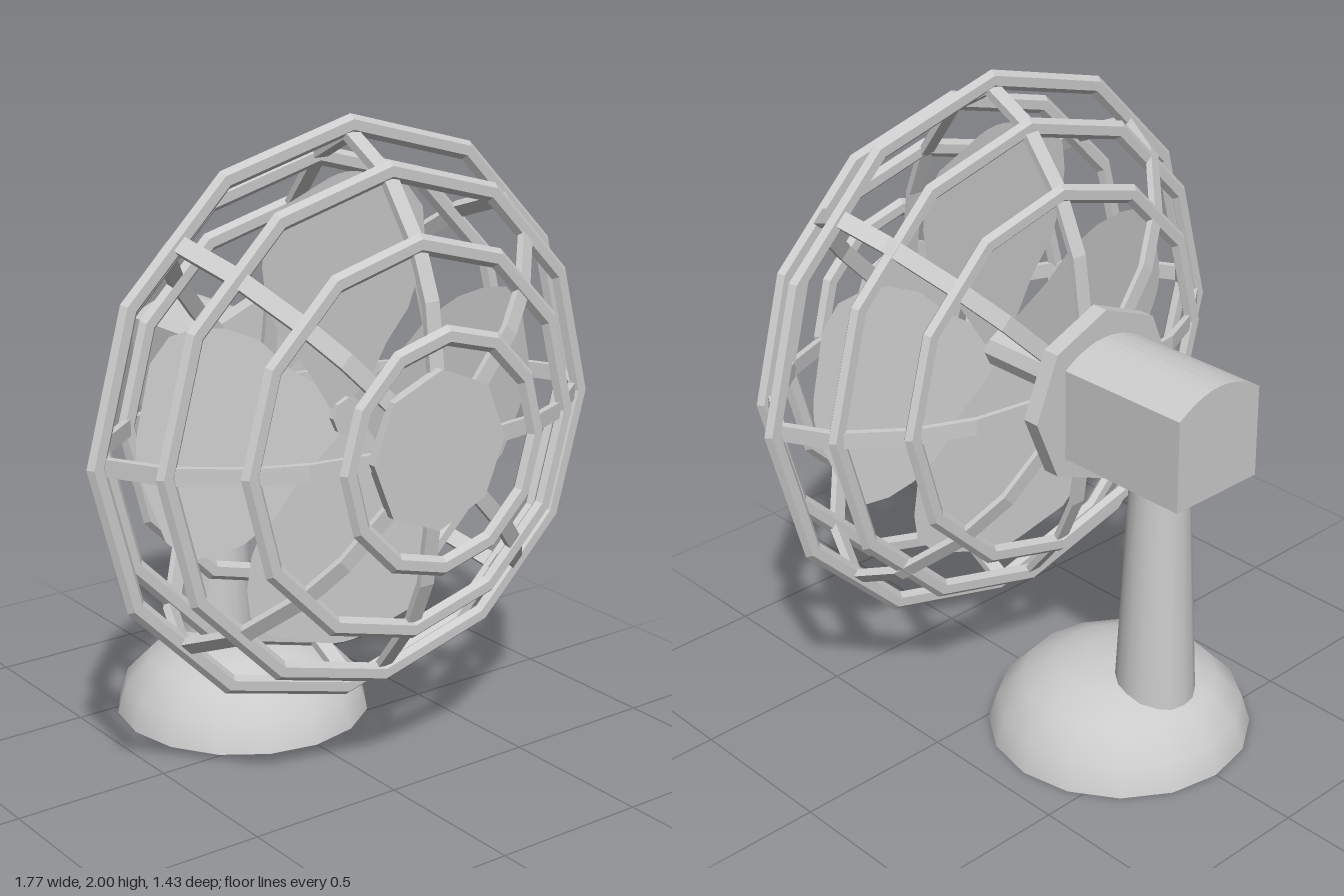
import * as THREE from 'three';

const AXIS_Y = 1.113; // height of the fan axis
const flat = new THREE.MeshStandardMaterial({ color: 0xcccccc, flatShading: true });
const smooth = new THREE.MeshStandardMaterial({ color: 0xcccccc, side: THREE.DoubleSide });

function add(parent, name, geometry, material = flat) {
  const mesh = new THREE.Mesh(geometry, material);
  mesh.name = name;
  parent.add(mesh);
  return mesh;
}

// Twelve-sided wire ring with a bevelled section, facing z
function ringGeometry(outer, z) {
  const section = [[0, 0], [-0.015, 0.017], [-0.045, 0.017], [-0.06, 0], [-0.045, -0.017], [-0.015, -0.017], [0, 0]];
  return new THREE.LatheGeometry(section.map(([r, y]) => new THREE.Vector2(outer + r, y)), 12)
    .rotateX(Math.PI / 2).translate(0, 0, z);
}

// Eight-sided disc or rod along z, with a corner at the top
function discGeometry(radius, z0, z1) {
  return new THREE.CylinderGeometry(radius, radius, z1 - z0, 8)
    .rotateX(Math.PI / 2).translate(0, 0, (z0 + z1) / 2);
}

// Flat curved rib from front cap to back plate, in the y-z plane
function ribGeometry() {
  const path = [[0.668, 0.18], [0.635, 0.415], [0.575, 0.56], [0.44, 0.74], [0.26, 0.842],
    [0.11, 0.765], [-0.03, 0.59], [-0.11, 0.41], [-0.165, 0.03]];
  const mid = 0.25;
  const inner = path.map(([z, r]) => [mid + (z - mid) * 0.96, r * 0.968]).reverse();
  const shape = new THREE.Shape([...path, ...inner].map(([z, r]) => new THREE.Vector2(z, r)));
  return new THREE.ExtrudeGeometry(shape, { depth: 0.05, bevelEnabled: false })
    .translate(0, 0, -0.025).rotateY(-Math.PI / 2);
}

// Broad rounded blade pointing up, pitched about its long axis
function bladeGeometry() {
  const rows = [[0.04, 0.06], [0.2, 0.17], [0.29, 0.26], [0.4, 0.31], [0.5, 0.325], [0.59, 0.315], [0.66, 0.25], [0.72, 0.07]];
  const cols = 4;
  const geo = new THREE.PlaneGeometry(1, 1, cols, rows.length - 1);
  const pos = geo.attributes.position;
  for (let i = 0; i < pos.count; i++) {
    const t = pos.getX(i) * 2;
    const [r, half] = rows[rows.length - 1 - Math.floor(i / (cols + 1))];
    const x = t * half;
    pos.setXYZ(i, x, r - 0.01 * t * t, 0.245 - 0.13 * x);
  }
  geo.computeVertexNormals();
  return geo;
}

export function createModel() {
  const model = new THREE.Group();
  model.name = 'deskFan';

  // Open domed base
  const dome = [[0.413, 0], [0.385, 0.09], [0.305, 0.173], [0.2, 0.224], [0.1, 0.244], [0, 0.248]];
  add(model, 'base', new THREE.LatheGeometry(dome.map(([r, y]) => new THREE.Vector2(r, y)), 16), smooth)
    .position.z = -0.3;

  // Tapered neck
  add(model, 'neck', new THREE.CylinderGeometry(0.088, 0.125, 0.79, 16, 1, true), smooth)
    .position.set(0, 0.58, -0.45);

  // Motor housing with an arched top
  const profile = new THREE.Shape();
  profile.moveTo(-0.165, 0.963);
  profile.lineTo(0.165, 0.963);
  profile.lineTo(0.165, 1.25);
  profile.quadraticCurveTo(0, 1.362, -0.165, 1.25);
  profile.closePath();
  add(model, 'motorHousing', new THREE.ExtrudeGeometry(profile, { depth: 0.45, bevelEnabled: false, curveSegments: 10 }))
    .position.z = -0.67;

  const head = new THREE.Group();
  head.name = 'fanHead';
  head.position.y = AXIS_Y;
  model.add(head);

  add(head, 'backPlate', discGeometry(0.278, -0.222, -0.168));
  add(head, 'frontCap', discGeometry(0.235, 0.655, 0.685));
  add(head, 'shaft', discGeometry(0.058, -0.17, 0.265));

  // Cage rings
  const rings = [[0.365, 0.7], [0.597, 0.573], [0.78, 0.44], [0.887, 0.26], [0.78, 0.105], [0.613, -0.03]];
  for (const [radius, z] of rings) add(head, 'cageRing', ringGeometry(radius, z));

  // Cage ribs
  const rib = ribGeometry();
  for (let i = 0; i < 8; i++) add(head, 'cageRib', rib).rotation.z = i * Math.PI / 4;

  // Blades
  const blade = bladeGeometry();
  for (let i = 0; i < 4; i++) add(head, 'blade', blade, smooth).rotation.z = i * Math.PI / 2;

  return model;
}
